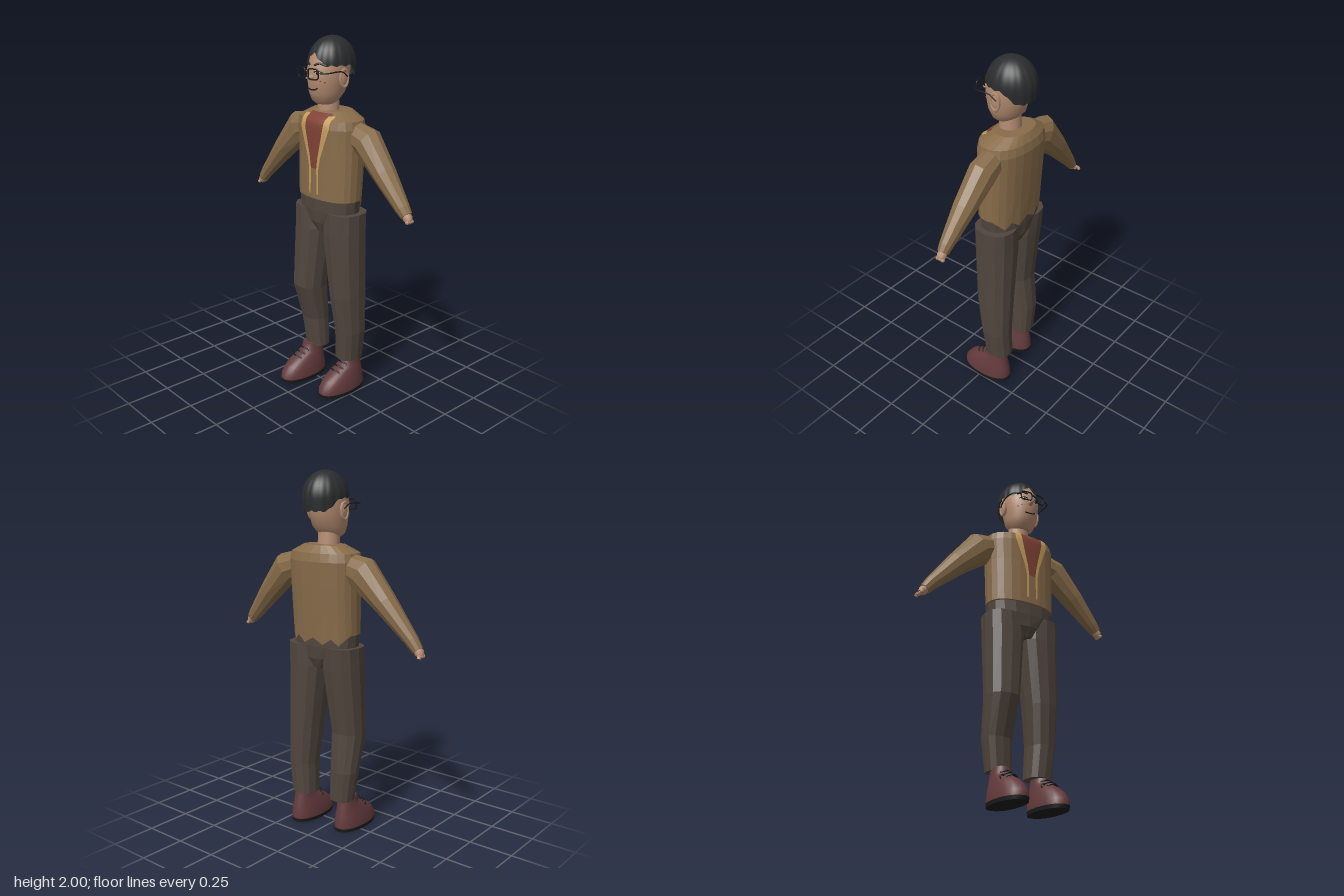
import * as THREE from 'three';

const mat = (name, color, open) => {
  const m = new THREE.MeshStandardMaterial({ color });
  m.name = name;
  if (open) m.side = THREE.DoubleSide;
  return m;
};

// Closed loft; each ring is [cx, cy, cz, radiusU, radiusZ, tilt]
function loft(rings, n, { p = 2, flat = false, tweak } = {}) {
  const pos = [], idx = [];
  const se = (v) => Math.sign(v) * Math.abs(v) ** (2 / p);
  const addRing = ([cx, cy, cz, ru, rv, t = 0], i) => {
    for (let j = 0; j < n; j++) {
      const a = (j / n) * Math.PI * 2, u = se(Math.cos(a)) * ru;
      const v = [cx + u * Math.cos(t), cy + u * Math.sin(t), cz + se(Math.sin(a)) * rv];
      if (tweak) tweak(v, i, j);
      pos.push(...v);
    }
  };
  rings.forEach(addRing);
  for (let i = 0; i < rings.length - 1; i++)
    for (let j = 0; j < n; j++) {
      const a = i * n + j, b = i * n + (j + 1) % n;
      idx.push(a, a + n, b, b, a + n, b + n);
    }
  for (const end of [0, rings.length - 1]) {
    const s = pos.length / 3;
    addRing(rings[end], end);
    pos.push(...rings[end].slice(0, 3));
    for (let j = 0; j < n; j++) {
      const a = s + j, b = s + (j + 1) % n;
      end ? idx.push(a, s + n, b) : idx.push(a, b, s + n);
    }
  }
  return finish(pos, idx, flat);
}

function finish(pos, idx, flat) {
  let g = new THREE.BufferGeometry();
  g.setAttribute('position', new THREE.Float32BufferAttribute(pos, 3));
  g.setIndex(idx);
  if (flat) g = g.toNonIndexed();
  g.computeVertexNormals();
  return g;
}

// Depth of the front surface of a vertical loft
function frontZ(rings, x, y, p) {
  let i = 0;
  while (i < rings.length - 2 && y > rings[i + 1][1]) i++;
  const f = (y - rings[i][1]) / (rings[i + 1][1] - rings[i][1]);
  const [cx, , cz, rx, rz] = rings[i].map((v, k) => v + (rings[i + 1][k] - v) * f);
  return cz + rz * Math.max(0, 1 - Math.abs((x - cx) / rx) ** p) ** (1 / p);
}

const tube = (pts, r, closed = false) => new THREE.TubeGeometry(
  new THREE.CatmullRomCurve3(pts.map((q) => new THREE.Vector3(...q)), closed), pts.length * 4, r, 6, closed);

export function createModel() {
  const root = new THREE.Group();
  const skin = mat('skin', 0xb58c72), hairM = mat('hair', 0x2b2c2d, true);
  const jacketM = mat('jacket brown', 0x886c4a), gold = mat('lapel gold', 0xc49c5c, true);
  const rust = mat('shirt rust', 0x7f4236, true), trousers = mat('trouser brown', 0x51463e);
  const shoeM = mat('shoe maroon', 0x633a3c), black = mat('black', 0x1b1b1c), white = mat('eye white', 0xd8d2c8);
  const add = (name, geo, m, x = 0, y = 0, z = 0) => {
    const mesh = new THREE.Mesh(geo, m);
    mesh.name = name;
    mesh.position.set(x, y, z);
    root.add(mesh);
    return mesh;
  };

  // Jacket body, with a jagged hem at the back
  const torso = [
    [.022, 1.14, -.05, .205, .12], [.022, 1.25, -.055, .207, .125], [.022, 1.4, -.06, .21, .13],
    [.02, 1.53, -.062, .215, .135], [.02, 1.575, -.062, .205, .125], [.012, 1.615, -.078, .122, .085]];
  add('jacket', loft(torso, 24, {
    p: 2.3, flat: true,
    tweak: (v, i, j) => { if (i === 0 && v[2] < -.09) v[1] -= j % 2 ? .055 : .02; },
  }), jacketM);

  // Thin panels that follow the jacket front; rows are [y, x0, x1]
  const panel = (name, rows, m, off) => {
    const pos = [], idx = [], n = 6, fine = [];
    for (let i = 0; i < rows.length - 1; i++)
      for (let k = 0; k < 4; k++) fine.push(rows[i].map((v, q) => v + (rows[i + 1][q] - v) * k / 4));
    fine.push(rows.at(-1));
    fine.forEach(([y, x0, x1], r) => {
      for (let c = 0; c <= n; c++) {
        const x = x0 + (x1 - x0) * c / n, a = r * (n + 1) + c;
        pos.push(x, y, frontZ(torso, x, y, 2.3) + off);
        if (r && c) idx.push(a - n - 2, a - 1, a - n - 1, a - n - 1, a - 1, a);
      }
    });
    add(name, finish(pos, idx), m);
  };
  panel('shirtFront', [[1.607, -.045, .11], [1.53, -.038, .102], [1.31, .008, .055]], rust, .005);
  for (const s of [-1, 1]) {
    const rows = [[1.597, .072, .107], [1.53, .068, .107], [1.37, .031, .05], [1.31, .023, .038], [1.17, .026, .038]];
    panel(s < 0 ? 'rightLapel' : 'leftLapel',
      rows.map(([y, a, b]) => (s < 0 ? [y, .033 - b, .033 - a] : [y, .033 + a - .004, .033 + b - .004])), gold, .008);
  }

  // Sleeves and hands; path points are [x, y, z, radius, depth radius]
  const limb = (path) => path.map(([x, y, z, r, d], i) => {
    const a = path[Math.max(0, i - 1)], b = path[Math.min(path.length - 1, i + 1)];
    return [x, y, z, r, d, Math.atan2(-(b[0] - a[0]), b[1] - a[1])];
  });
  const arms = {
    right: [[-.15, 1.5, -.065, .075, .065], [-.232, 1.478, -.067, .097, .072], [-.375, 1.335, -.062, .066, .062],
      [-.535, 1.16, -.052, .038, .036], [-.572, 1.113, -.05, .03, .03]],
    left: [[.19, 1.5, -.075, .075, .065], [.278, 1.472, -.08, .088, .073], [.413, 1.33, -.072, .066, .062],
      [.55, 1.18, -.066, .042, .037], [.578, 1.148, -.066, .034, .03]],
  };
  for (const [side, path] of Object.entries(arms)) {
    add(side + 'Sleeve', loft(limb(path), 10, { flat: true }), jacketM);
    const s = side === 'left' ? 1 : -1, [x, y, z] = path[4];
    add(side + 'Hand', loft(limb([[x - s * .01, y + .012, z, .022, .022], [x + s * .01, y - .012, z, .026, .027],
      [x + s * .022, y - .027, z, .016, .02]]), 10), skin);
    for (let k = 0; k < 3; k++)
      add(side + 'Finger', new THREE.SphereGeometry(.011, 8, 6), skin, x + s * .022, y - .028, z + (k - 1) * .017);
  }
  add('rightThumb', tube([[-.588, 1.1, -.065], [-.6, 1.088, -.082], [-.603, 1.078, -.09]], .01), skin);

  // Trousers
  add('hips', loft([[.03, .945, -.05, .05, .085], [.025, 1.0, -.05, .11, .108], [.022, 1.07, -.05, .195, .115],
    [.022, 1.137, -.05, .2, .115]], 16, { p: 2.3, flat: true }), trousers);
  // Leg rows are [y, x0, x1, zBack, zFront]
  const leg = (name, rows) => add(name, loft(rows.map(([y, a, b, c, d]) =>
    [(a + b) / 2, y, (c + d) / 2, (b - a) / 2, (d - c) / 2]), 12, { p: 2.4, flat: true }), trousers);
  leg('rightLeg', [[.185, -.165, -.025, -.125, -.003], [.36, -.19, -.03, -.13, .012], [.58, -.2, -.015, -.11, .077],
    [.945, -.2, .022, -.155, .066], [1.07, -.2, .01, -.165, .06]]);
  leg('leftLeg', [[.185, .085, .225, -.16, -.005], [.36, .093, .247, -.162, .01], [.58, .071, .25, -.165, .04],
    [.945, .024, .25, -.168, .058], [1.07, .03, .25, -.17, .058]]);

  // Shoes with soles and laces
  for (const [side, x, z] of [['right', -.105, .2], ['left', .172, .15]]) {
    const rows = (list) => list.map(([y, back, front, w]) => [x, y, z + (front + back) / 2, w, (front - back) / 2]);
    add(side + 'Sole', loft(rows([[0, -.312, -.004, .077], [.02, -.314, 0, .079]]), 24, { p: 2.2 }), black);
    add(side + 'Shoe', loft(rows([[.02, -.313, -.001, .078], [.05, -.312, -.005, .077], [.09, -.306, -.035, .07],
      [.125, -.298, -.085, .06], [.15, -.293, -.14, .053], [.165, -.288, -.16, .05], [.2, -.285, -.17, .046]]),
    24, { p: 2.2 }), shoeM);
    for (let k = 0; k < 3; k++) {
      const ly = .137 + k * .016, lz = z - .098 - k * .03;
      add(side + 'Lace', tube([[x - .035, ly - .006, lz - .015], [x, ly + .006, lz], [x + .035, ly - .006, lz - .015]], .005), black);
    }
    add(side + 'LaceBow', new THREE.TorusGeometry(.012, .004, 6, 12), black, x - .045, .13, z - .13);
  }

  // Head and neck
  const head = [
    [.015, 1.65, -.02, .05, .05], [.015, 1.668, -.02, .073, .07], [.018, 1.71, -.03, .09, .1], [.02, 1.77, -.035, .1, .114],
    [.02, 1.83, -.04, .106, .121], [.02, 1.9, -.05, .1, .107], [.02, 1.95, -.055, .075, .085], [.02, 1.98, -.058, .035, .04]];
  add('neck', loft([[.012, 1.57, -.048, .062, .06], [.012, 1.7, -.045, .058, .055]], 20), skin);
  add('head', loft(head, 32), skin);

  // Scalloped hair cap with a centre parting
  const hp = [], hi = [], N = 96, M = 14;
  for (let i = 0; i <= M; i++)
    for (let j = 0; j <= N; j++) {
      const a = (j / N) * 2 * Math.PI - Math.PI, f = Math.cos(a), s = i / M;
      const hem = 1.79 + .065 * THREE.MathUtils.smoothstep(f, -.8, -.1) + .065 * Math.max(0, 1 - Math.abs(a) / .65)
        + .004 * Math.sin(a * 16);
      const y = hem + (2 - hem) * Math.cos(s * Math.PI / 2);
      let r = y > 1.86 ? Math.sqrt(Math.max(0, 1 - ((y - 1.86) / .14) ** 2)) : 1 - (1.86 - y) * .8;
      r *= .985 + .03 * s * Math.abs(Math.sin(a * 8));
      hp.push(.02 + .119 * r * Math.sin(a), y, -.063 + .135 * r * f);
      if (i && j) {
        const q = i * (N + 1) + j, u = q - N - 1;
        hi.push(u - 1, q - 1, u, u, q - 1, q);
      }
    }
  add('hair', finish(hp, hi), hairM);

  // Face: mirrored ears, eyes, brows, freckles and glasses
  const onFace = (x, y, off) => [x, y, frontZ(head, x, y, 2) + off];
  for (const s of [-1, 1]) {
    const side = s < 0 ? 'right' : 'left', at = (d) => .02 + s * d;
    add(side + 'Ear', new THREE.SphereGeometry(1, 14, 10), skin, at(.107), 1.79, -.045).scale.set(.014, .048, .028);
    const rim = add(side + 'EarRim', new THREE.TorusGeometry(.026, .006, 6, 20), skin, at(.116), 1.79, -.045);
    rim.rotation.y = Math.PI / 2;
    rim.scale.y = 1.7;
    add(side + 'Eye', new THREE.SphereGeometry(1, 12, 8), white, ...onFace(at(.041), 1.818, 0)).scale.set(.019, .01, .005);
    add(side + 'Pupil', new THREE.SphereGeometry(1, 10, 8), black, ...onFace(at(.04), 1.818, .004)).scale.set(.008, .008, .004);
    add(side + 'EyeLine', tube([onFace(at(.02), 1.824, .004), onFace(at(.042), 1.83, .005), onFace(at(.064), 1.823, .004)], .003), black);
    add(side + 'Brow', tube([onFace(at(.018), 1.858, .008), onFace(at(.045), 1.868, .008), onFace(at(.072), 1.857, .006)], .0055), hairM);
    for (const [d, y] of [[.05, 1.778], [.068, 1.772]])
      add(side + 'Freckle', new THREE.SphereGeometry(.004, 6, 5), rust, ...onFace(at(d), y, 0));
    const rimPts = [];
    for (let k = 0; k < 20; k++) {
      const a = (k / 20) * Math.PI * 2, q = (v) => Math.sign(v) * Math.abs(v) ** .45;
      const d = .044 + .033 * q(Math.cos(a));
      rimPts.push([at(d), 1.818 + .027 * q(Math.sin(a)), .113 - d * d * 2]);
    }
    add(side + 'GlassesRim', tube(rimPts, .0038, true), black);
    add(side + 'Temple', tube([[at(.077), 1.825, .1], [at(.118), 1.826, .08], [at(.126), 1.826, -.02], [at(.122), 1.8, -.06]], .0035), black);
  }
  add('glassesBridge', tube([[.009, 1.82, .113], [.02, 1.825, .116], [.031, 1.82, .113]], .0038), black);
  const nose = add('nose', new THREE.ConeGeometry(.02, .055, 8), skin, .02, 1.795, .098);
  nose.rotation.x = Math.PI / 2;
  add('mouth', tube([onFace(-.012, 1.731, .002), onFace(.02, 1.729, .002), onFace(.045, 1.735, .002), onFace(.055, 1.743, .002)], .0038), black);

  return root;
}
